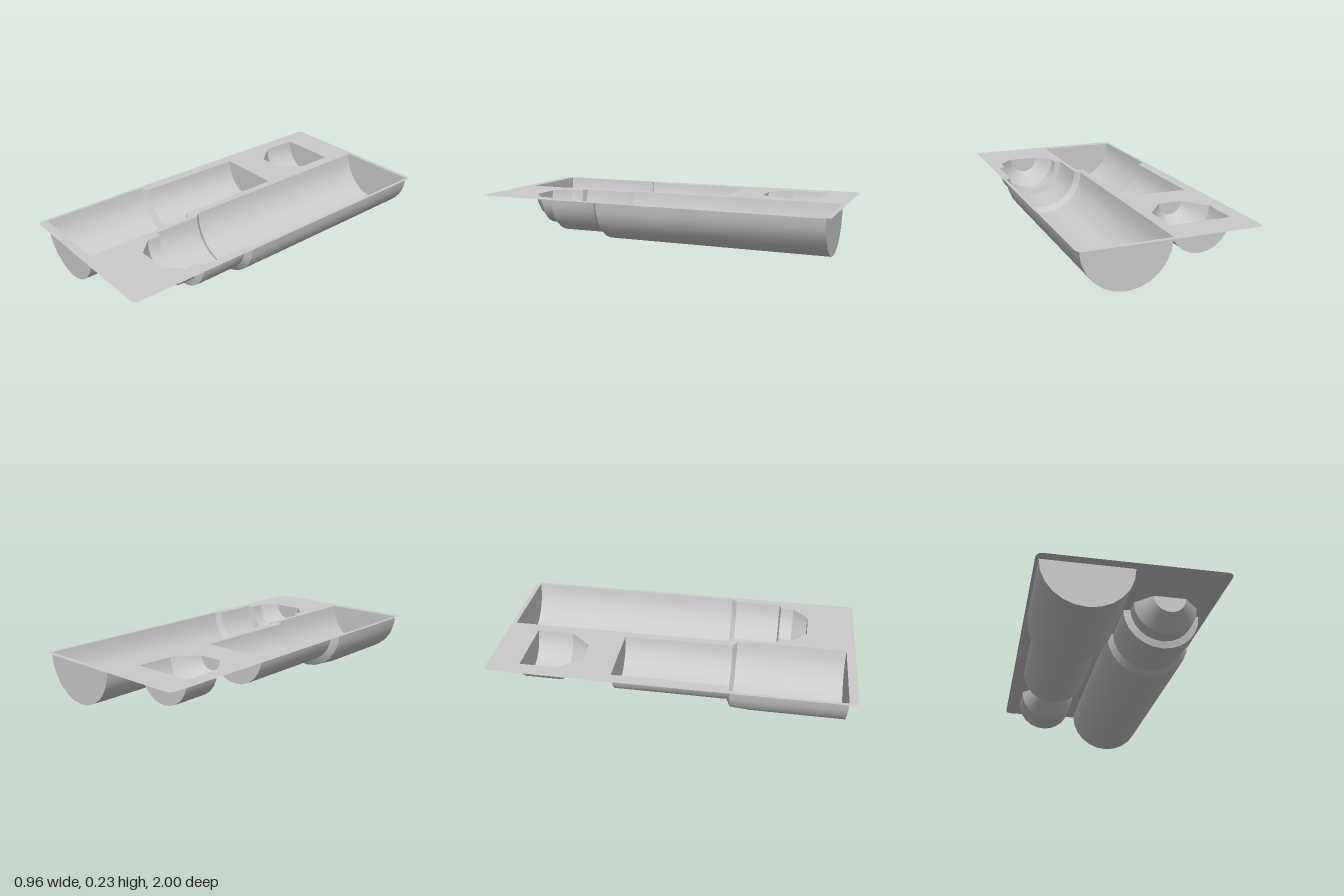
import * as THREE from 'three';
import { toCreasedNormals } from 'three/addons/utils/BufferGeometryUtils.js';

const TOP = 0.233; // height of the flat sheet

// Each cavity: centre x and a profile of [radius, z] from back to front
const cavities = [
  { name: 'longCavity', x: 0.23, profile: [
    [0.233, -0.975], [0.233, 0.265], [0.205, 0.295], [0.205, 0.56],
    [0.169, 0.57], [0.169, 0.645], [0.085, 0.73]] },
  { name: 'steppedCavity', x: -0.23, profile: [
    [0.186, -0.305], [0.186, 0.315], [0.225, 0.338], [0.233, 0.44], [0.233, 0.95]] },
  { name: 'smallCavity', x: -0.23, profile: [
    [0.167, -0.82], [0.167, -0.615], [0.066, -0.49]] },
];

// Half-round trough with flat ends, open at the top
function trough(profile) {
  const pts = [[0, profile[0][1]], ...profile, [0, profile.at(-1)[1]]];
  const lathe = new THREE.LatheGeometry(
    pts.map(([r, z]) => new THREE.Vector2(r, z)), 12, -Math.PI / 2, Math.PI);
  lathe.rotateX(Math.PI / 2);
  return toCreasedNormals(lathe, 0.5);
}

// Opening of a cavity in the sheet (shape y is -z)
function opening({ x, profile }) {
  const right = profile.map(([r, z]) => new THREE.Vector2(x + r, -z));
  const left = profile.map(([r, z]) => new THREE.Vector2(x - r, -z)).reverse();
  return new THREE.Path([...right, ...left]);
}

// Rounded rectangle centred on the origin
function roundedRect(w, h, r) {
  const s = new THREE.Shape();
  s.absarc(w - r, h - r, r, 0, Math.PI / 2);
  s.absarc(-w + r, h - r, r, Math.PI / 2, Math.PI);
  s.absarc(-w + r, -h + r, r, Math.PI, Math.PI * 1.5);
  s.absarc(w - r, -h + r, r, Math.PI * 1.5, Math.PI * 2);
  s.closePath();
  return s;
}

export function createModel() {
  const group = new THREE.Group();
  group.name = 'mouldedTray';
  const material = new THREE.MeshStandardMaterial({ color: 0xcccccc, side: THREE.DoubleSide });

  // Thin sheet with the openings cut out
  const outline = roundedRect(0.48, 1, 0.035);
  outline.holes = cavities.map(opening);
  const sheet = new THREE.Mesh(new THREE.ShapeGeometry(outline, 6).rotateX(-Math.PI / 2), material);
  sheet.name = 'sheet';
  sheet.position.y = TOP;
  group.add(sheet);

  // Hanging cavities
  for (const c of cavities) {
    const mesh = new THREE.Mesh(trough(c.profile), material);
    mesh.name = c.name;
    mesh.position.set(c.x, TOP, 0);
    group.add(mesh);
  }
  return group;
}
